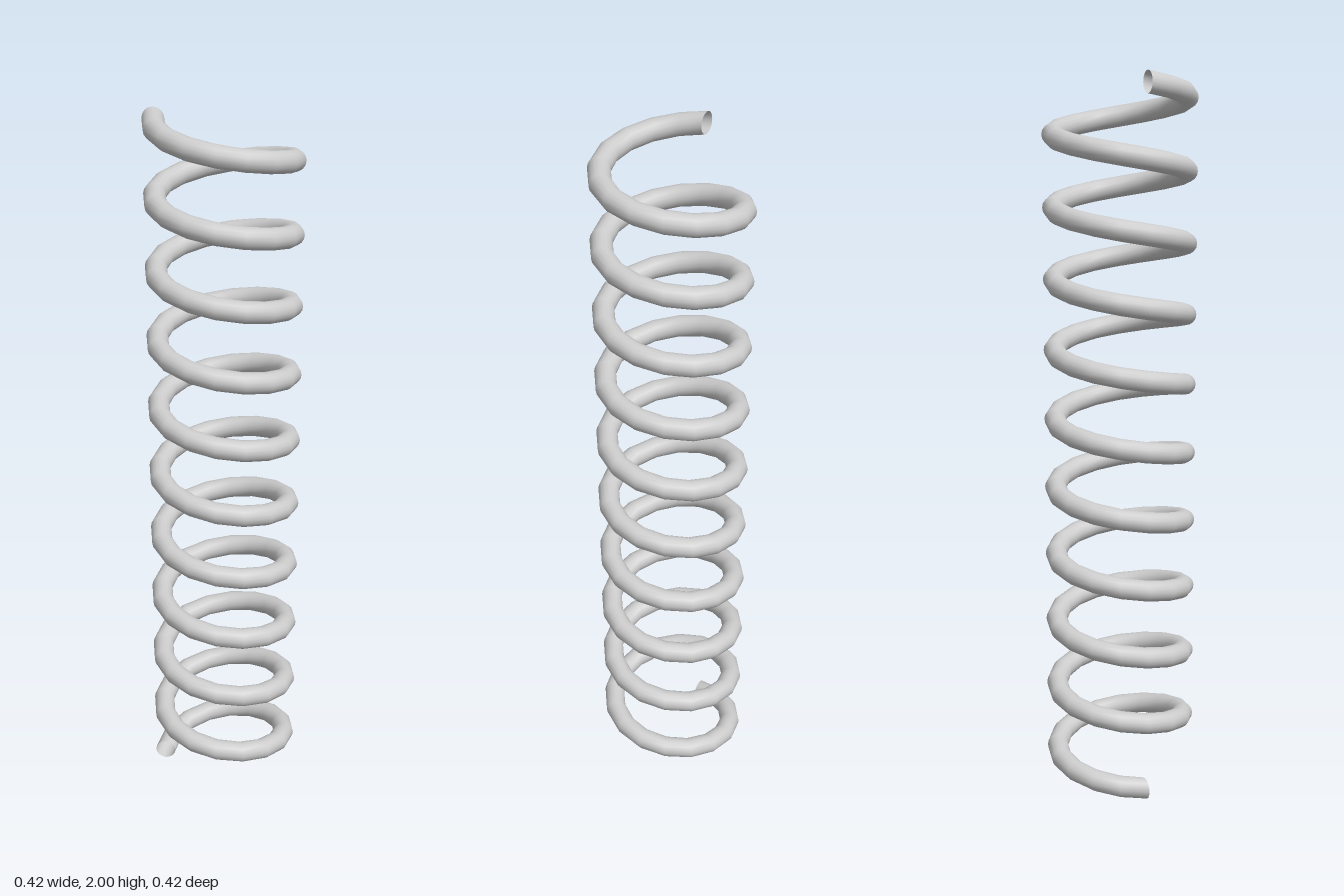
import * as THREE from 'three';
import { mergeVertices } from 'three/addons/utils/BufferGeometryUtils.js';

const TURNS = 10, STEPS = 16, SIDES = 16; // sixteen straight steps per coil
const COIL_RADIUS = 0.181, WIRE_RADIUS = 0.0295;
const PITCH = (2 - 2 * WIRE_RADIUS) / TURNS;

// A ring wound ten times round, then lifted steadily along its length
function coilGeometry() {
  const count = TURNS * STEPS;
  let geometry = new THREE.TorusGeometry(COIL_RADIUS, WIRE_RADIUS, SIDES, count, TURNS * Math.PI * 2);
  geometry.rotateX(Math.PI / 2).rotateY(Math.PI);
  const position = geometry.attributes.position;
  for (let i = 0; i < position.count; i++) {
    const step = i % (count + 1);
    position.setY(i, position.getY(i) + WIRE_RADIUS + (PITCH * step) / STEPS);
  }
  // Weld the seam so the wire shades smoothly all round
  geometry.deleteAttribute('uv');
  geometry.deleteAttribute('normal');
  geometry = mergeVertices(geometry, 1e-5);
  geometry.computeVertexNormals();
  return geometry;
}

export function createModel() {
  const group = new THREE.Group();
  group.name = 'coilSpring';
  // The wire is open at both ends
  const steel = new THREE.MeshStandardMaterial({ color: 0xcccccc, side: THREE.DoubleSide });
  steel.name = 'light grey steel';
  const wire = new THREE.Mesh(coilGeometry(), steel);
  wire.name = 'springWire';
  group.add(wire);
  return group;
}
